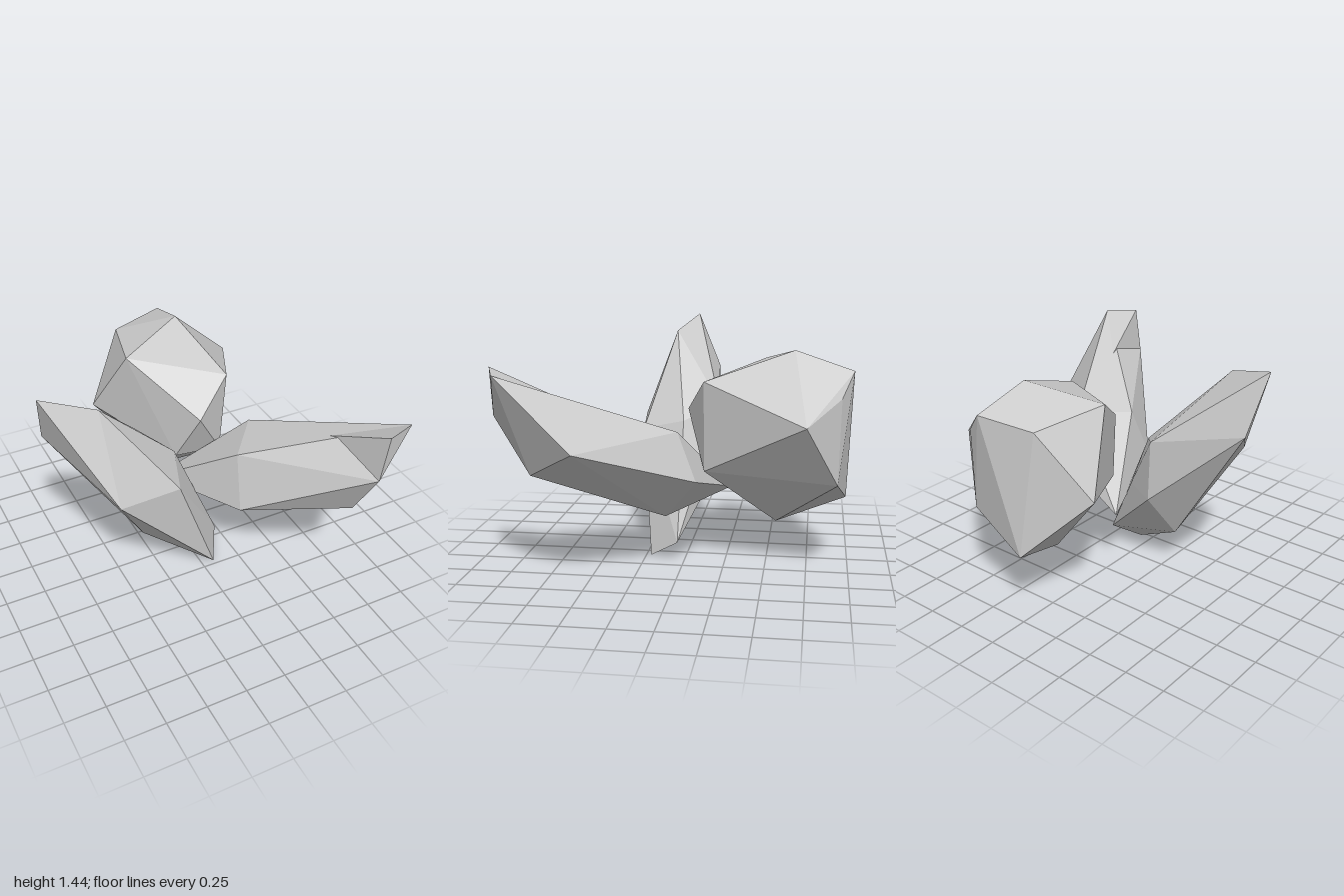
import * as THREE from 'three';
import { ConvexGeometry } from 'three/addons/geometries/ConvexGeometry.js';

const material = new THREE.MeshStandardMaterial({ color: 0xcccccc, flatShading: true });

// A faceted stone: the convex skin around its corner points
function stone(name, corners) {
  const points = corners.map((c) => new THREE.Vector3(...c));
  const mesh = new THREE.Mesh(new ConvexGeometry(points), material);
  mesh.name = name;
  return mesh;
}

export function createModel() {
  const group = new THREE.Group();
  group.name = 'rockCluster';

  // Tall shard leaning up to the right side (-x)
  group.add(stone('leaningShard', [
    [-0.93, 1.45, 0.04], [-0.62, 1.36, 0.15], [-0.88, 1.10, -0.11], // tip
    [-0.60, 0.80, 0.36], [-0.20, 0.77, 0.31], [-0.11, 0.84, 0.04],  // middle
    [-0.28, 0.93, -0.17], [-0.28, 0.56, -0.19], [-0.07, 0.57, -0.08],
    [-0.33, 0.26, 0.03], [0.08, 0.01, 0.22], [0.18, 0.13, 0.04],    // foot
  ]));

  // Long shard reaching forward, with a small spike on its end
  const end = [[0.93, 1.26, 0.92], [0.69, 1.0, 1.0], [0.62, 1.08, 0.60]];
  const forward = new THREE.Group();
  forward.name = 'forwardShard';
  forward.add(
    stone('forwardShardBody', [
      ...end,
      [0.93, 0.84, 0.50], [0.69, 0.66, 0.80],
      [0.20, 0.86, 0.27], [0.16, 0.54, 0.40], [0.25, 0.32, 0.10],
      [0.43, 0.88, 0.0], [0.45, 0.59, -0.11], [-0.10, 0.43, -0.27],
    ]),
    stone('forwardShardSpike', [...end, [0.73, 1.28, 1.0]]),
  );
  group.add(forward);

  // Round boulder at the back
  group.add(stone('backBoulder', [
    [0.24, 1.34, -0.66], [0.34, 1.16, -0.14], [-0.19, 1.24, -0.47], // top
    [-0.07, 1.19, -0.92], [0.27, 1.23, -1.0], [0.41, 1.09, -0.93],
    [0.10, 0.96, -0.02], [0.64, 0.96, -0.74], [-0.33, 0.78, -0.74], // waist
    [0.30, 0.62, -0.14], [0.0, 0.63, -0.17], [0.42, 0.59, -0.92],
    [0.02, 0.42, -0.98], [0.12, 0.28, -0.56],                       // base
  ]));

  return group;
}
